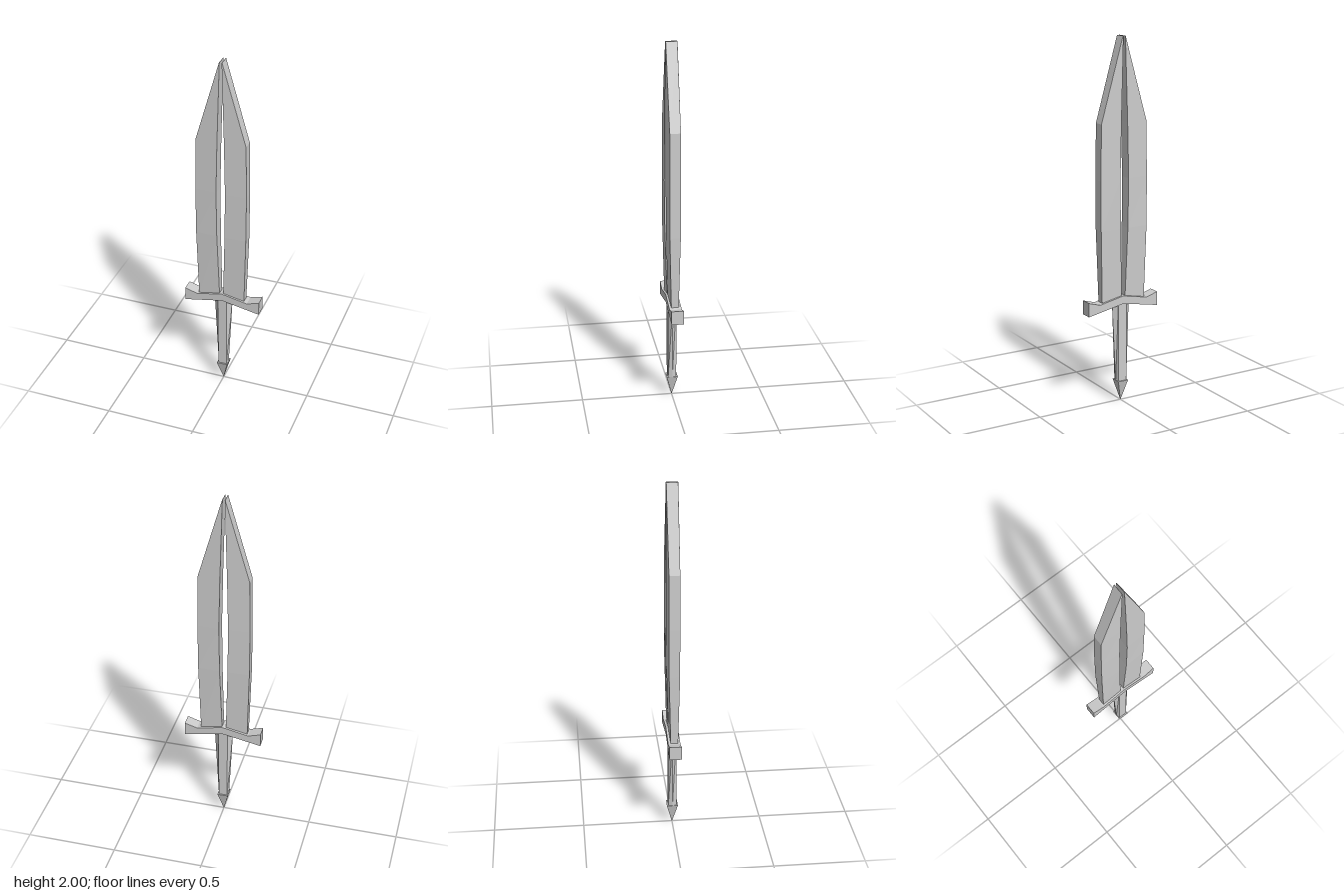
import * as THREE from 'three';

// Lofts a solid through rings of [x, y, z] corners, counter-clockwise seen from above, listed bottom to top.
function loft(rings) {
  const p = [];
  const tri = (a, b, c) => p.push(...a, ...b, ...c);
  const n = rings[0].length;
  for (let k = 0; k < rings.length - 1; k++) {
    const a = rings[k], b = rings[k + 1];
    for (let i = 0; i < n; i++) {
      const j = (i + 1) % n;
      tri(a[i], a[j], b[j]);
      tri(a[i], b[j], b[i]);
    }
  }
  const lo = rings[0], hi = rings[rings.length - 1];
  for (let i = 1; i < n - 1; i++) {
    tri(lo[0], lo[i + 1], lo[i]);
    tri(hi[0], hi[i], hi[i + 1]);
  }
  const g = new THREE.BufferGeometry();
  g.setAttribute('position', new THREE.Float32BufferAttribute(p, 3));
  g.computeVertexNormals();
  return g;
}

export function createModel() {
  const model = new THREE.Group();
  model.name = 'sword';
  const steel = new THREE.MeshStandardMaterial({ color: 0xcccccc });
  steel.name = 'steel grey';
  const add = (name, geometry) => {
    const mesh = new THREE.Mesh(geometry, steel);
    mesh.name = name;
    model.add(mesh);
    return mesh;
  };

  // Split blade: two thick halves with a slot between; [y, inner x, outer x, inner z, outer z]
  const sections = [
    [0.575, 0.01, 0.131, 0.021, 0.02],
    [0.98, 0.022, 0.141, 0.032, 0.029],
    [1.25, 0.025, 0.142, 0.034, 0.029],
    [1.55, 0.019, 0.137, 0.033, 0.029],
    [2.0, 0.006, 0.008, 0.031, 0.03],
  ];
  const half = loft(sections.map(([y, xi, xo, zi, zo]) =>
    [[xi, y, zi], [xo, y, zo], [xo, y, -zo], [xi, y, -zi]]));
  for (const [name, turn] of [['leftBlade', 0], ['rightBlade', Math.PI]]) {
    const blade = add(name, half);
    blade.rotation.y = turn;
    blade.position.x = -0.006;
  }

  // Crossguard: bent bar with flared ends
  const outline = [[-0.215, 0.52], [0, 0.562], [0.215, 0.52], [0.215, 0.597],
    [0.145, 0.576], [0, 0.606], [-0.145, 0.576], [-0.215, 0.597]];
  const guard = new THREE.ExtrudeGeometry(
    new THREE.Shape(outline.map(([x, y]) => new THREE.Vector2(x, y))),
    { depth: 0.066, bevelEnabled: false });
  guard.translate(0, 0, -0.034);
  add('crossguard', guard);

  // Grip: six-sided, widening towards the guard
  const hex = (y, face, ridge, z) => [[-face, y, z], [face, y, z], [ridge, y, 0],
    [face, y, -z], [-face, y, -z], [-ridge, y, 0]];
  add('grip', loft([hex(0.11, 0.024, 0.03, 0.023), hex(0.58, 0.026, 0.053, 0.023)]));

  // Pommel: four-sided spike pointing down
  const square = (y, r) => [[-r, y, r], [r, y, r], [r, y, -r], [-r, y, -r]];
  add('pommel', loft([square(0, 0.0005), square(0.118, 0.031)]));

  return model;
}
